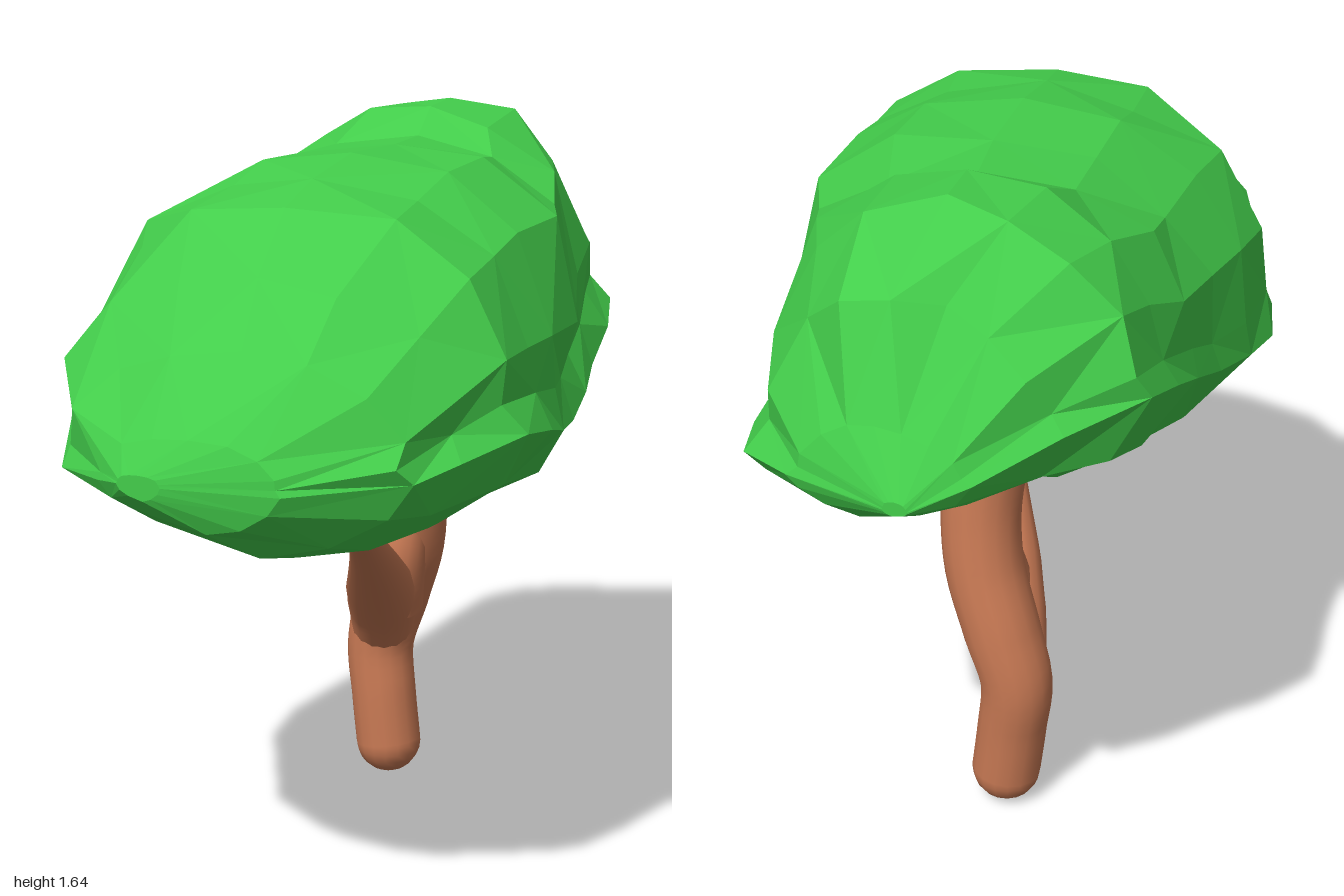
import * as THREE from 'three';

const canopyMat = new THREE.MeshStandardMaterial({ color: 0x43cd4b, flatShading: true, side: THREE.DoubleSide });
const barkMat = new THREE.MeshStandardMaterial({ color: 0xc67853 });

// Canopy sections along z: z, left x, right x, top y, bottom y, rim y at -x, rim y at +x, narrowing towards the top
const SECTIONS = [
  [1.0, -0.06, 0.04, 1.04, 0.99, 1.02, 1.02, 0],
  [0.96, -0.13, 0.28, 1.11, 0.93, 1.01, 1.02, 0],
  [0.84, -0.28, 0.49, 1.26, 0.87, 1.0, 1.04, 0],
  [0.68, -0.42, 0.53, 1.38, 0.82, 1.0, 1.06, 0],
  [0.48, -0.52, 0.57, 1.5, 0.80, 1.0, 1.08, 0],
  [0.32, -0.57, 0.54, 1.54, 0.785, 1.01, 1.05, 0],
  [0.12, -0.57, 0.49, 1.575, 0.77, 1.05, 1.01, -0.03],
  [-0.1, -0.56, 0.43, 1.572, 0.82, 1.11, 0.99, -0.08],
  [-0.3, -0.56, 0.35, 1.575, 0.88, 1.18, 1.0, -0.06],
  [-0.46, -0.57, 0.31, 1.635, 0.93, 1.25, 1.04, 0.08],
  [-0.64, -0.57, 0.27, 1.645, 1.0, 1.31, 1.1, 0.2],
  [-0.81, -0.45, 0.2, 1.52, 1.06, 1.28, 1.14, 0.3],
  [-0.93, -0.32, 0.06, 1.31, 1.11, 1.22, 1.17, 0.3],
  [-1.0, -0.22, -0.17, 1.2, 1.17, 1.18, 1.18, 0],
];

// Normalised section outline: u across, v up or down from the rim, with a fold above the right rim
const OUTLINE = [
  [1, 0], [0.93, 0.15], [0.94, 0.36], [0.77, 0.73], [0.43, 0.94], [0.02, 1], [-0.38, 0.95],
  [-0.72, 0.78], [-0.92, 0.48], [-0.96, 0.16], [-1, 0], [-0.84, -0.4], [-0.45, -0.71],
  [0.2, -1], [0.57, -0.82], [0.86, -0.42],
];

function makeCanopy() {
  const n = OUTLINE.length, pos = [], index = [];
  const hash = (a, b) => { const s = Math.sin(a * 12.99 + b * 78.23) * 43758.55; return s - Math.floor(s) - 0.5; };
  SECTIONS.forEach(([z, xl, xr, top, bottom, rimL, rimR, narrow], i) => {
    const cx = (xl + xr) / 2, hw = (xr - xl) / 2;
    OUTLINE.forEach(([u, v], j) => {
      const rim = THREE.MathUtils.lerp(rimL, rimR, (u + 1) / 2);
      const inner = Math.abs(u) < 1 && Math.abs(v) < 1;     // keep the extremes exact
      const k = inner ? 1 + 0.06 * hash(i + 1, j + 1) : 1;
      const dz = i > 1 && i < SECTIONS.length - 2 ? 0.08 * hash(j + 3, i + 7) : 0;
      const x = cx + hw * u * k * (1 - narrow * Math.max(v, 0));
      pos.push(x, rim + (v > 0 ? top - rim : rim - bottom) * v * k, z + dz);
    });
  });
  for (let i = 0; i < SECTIONS.length - 1; i++) {
    for (let j = 0; j < n; j++) {
      const a = i * n + j, b = i * n + (j + 1) % n, c = a + n, d = b + n;
      if ((i + j) % 2) index.push(a, c, b, b, c, d);
      else index.push(a, c, d, a, d, b);
    }
  }
  // Close both tips
  const last = (SECTIONS.length - 1) * n;
  for (let j = 1; j < n - 1; j++) index.push(0, j, j + 1, last, last + j + 1, last + j);
  const geo = new THREE.BufferGeometry();
  geo.setAttribute('position', new THREE.Float32BufferAttribute(pos, 3));
  geo.setIndex(index);
  geo.computeVertexNormals();
  return geo;
}

// Tube through the points, its radius blended along the list of radii
function taperedTube(points, radii, segments = 28, sides = 16) {
  const curve = new THREE.CatmullRomCurve3(points.map(p => new THREE.Vector3(...p)));
  const geo = new THREE.TubeGeometry(curve, segments, 1, sides, false);
  const p = geo.attributes.position, v = new THREE.Vector3();
  for (let i = 0; i <= segments; i++) {
    const t = i / segments, c = curve.getPointAt(t);
    const f = t * (radii.length - 1), k = Math.min(Math.floor(f), radii.length - 2);
    const r = THREE.MathUtils.lerp(radii[k], radii[k + 1], f - k);
    for (let j = 0; j <= sides; j++) {
      const id = i * (sides + 1) + j;
      v.fromBufferAttribute(p, id).sub(c).multiplyScalar(r).add(c);
      p.setXYZ(id, v.x, v.y, v.z);
    }
  }
  return geo;
}

export function createModel() {
  const group = new THREE.Group();
  const add = (name, geo, mat) => {
    const mesh = new THREE.Mesh(geo, mat);
    mesh.name = name;
    group.add(mesh);
    return mesh;
  };

  add('canopy', makeCanopy(), canopyMat);

  // Bent trunk with a rounded foot
  add('trunk', taperedTube(
    [[-0.14, 0.08, -0.268], [-0.155, 0.2, -0.272], [-0.168, 0.33, -0.28], [-0.13, 0.46, -0.275],
      [-0.08, 0.61, -0.255], [-0.065, 0.74, -0.235], [-0.075, 0.86, -0.22], [-0.09, 0.95, -0.22]],
    [0.08, 0.08, 0.082, 0.088, 0.09, 0.09, 0.09, 0.1]), barkMat);
  const foot = add('trunkFoot', new THREE.SphereGeometry(0.08, 16, 12), barkMat);
  foot.position.set(-0.14, 0.08, -0.268);

  // Side branch growing out of the bend and tapering towards the front
  add('branch', taperedTube(
    [[-0.165, 0.36, -0.285], [-0.12, 0.455, -0.2], [-0.075, 0.53, -0.1], [0.01, 0.66, 0.1], [0.07, 0.765, 0.26], [0.11, 0.82, 0.35]],
    [0.075, 0.085, 0.08, 0.063, 0.046, 0.032, 0.02]), barkMat);
  // Web filling the fork
  add('fork', taperedTube(
    [[-0.1, 0.46, -0.2], [-0.085, 0.53, -0.185], [-0.075, 0.59, -0.19], [-0.07, 0.66, -0.215]],
    [0.08, 0.078, 0.07, 0.06], 12), barkMat);
  return group;
}
